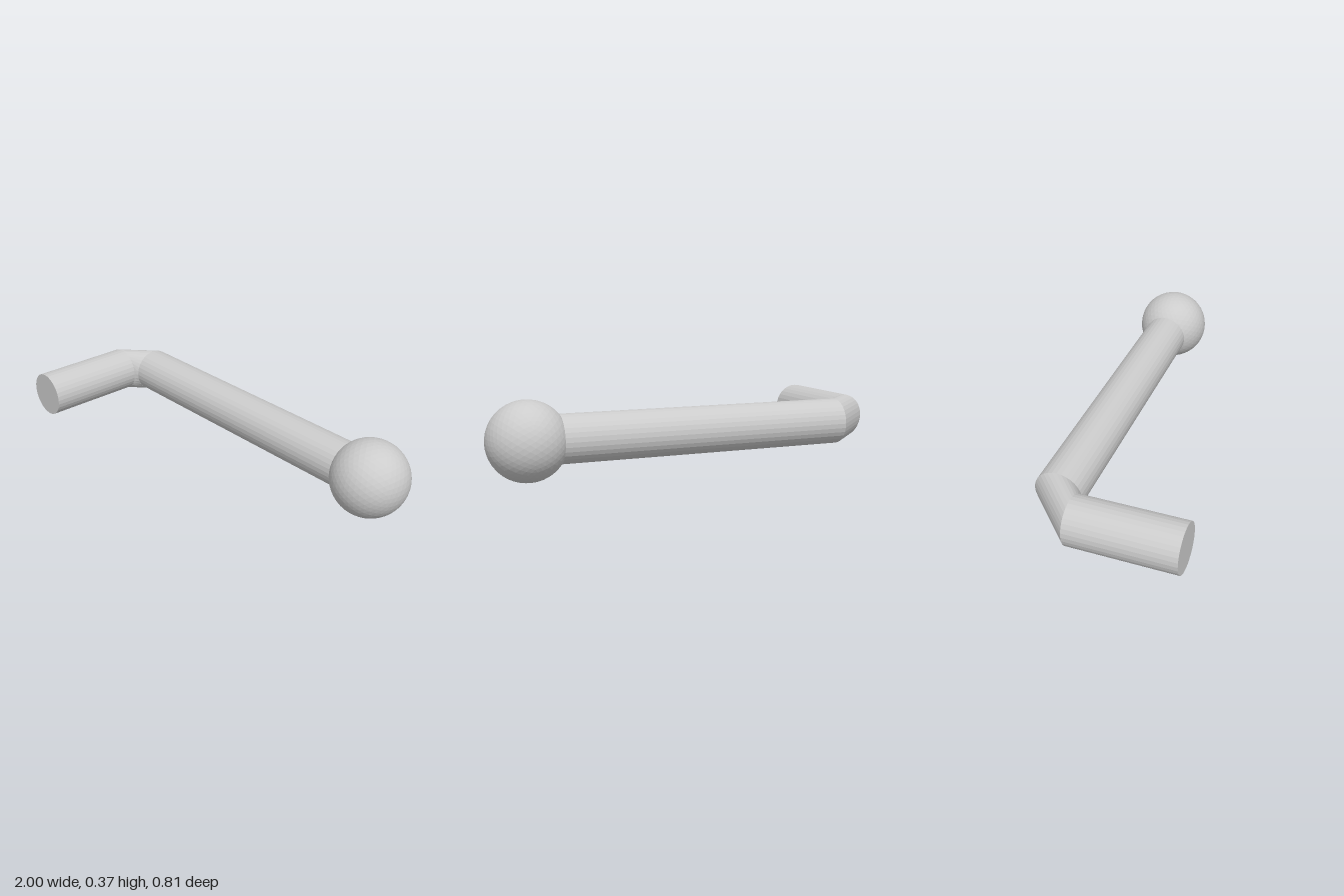
import * as THREE from 'three';

const R = 0.113, SIDES = 32, CY = 0.186;
const LEG_X = -0.887, ARM_Z = -0.223;   // centre lines of the two straight rods
const BEND_Z = -0.1, BEND_X = -0.755;   // where the elbow starts and stops

export function createModel() {
  const group = new THREE.Group();
  const material = new THREE.MeshStandardMaterial({ color: 0xcccccc, flatShading: true });
  const add = (name, geometry, x = 0, y = 0, z = 0) => {
    const mesh = new THREE.Mesh(geometry, material);
    mesh.name = name;
    mesh.position.set(x, y, z);
    group.add(mesh);
  };

  // Short rod pointing to the front
  const legLength = 0.407 - BEND_Z;
  add('shortRod', new THREE.CylinderGeometry(R, R, legLength, SIDES).rotateX(Math.PI / 2),
    LEG_X, CY, BEND_Z + legLength / 2);

  // Long rod running across, ending inside the ball
  const armLength = 0.74 - BEND_X;
  add('longRod', new THREE.CylinderGeometry(R, R, armLength, SIDES).rotateZ(Math.PI / 2),
    BEND_X + armLength / 2, CY, ARM_Z);

  // Elbow: a straight loft between the two rod ends
  const positions = [], index = [];
  for (let i = 0; i <= SIDES; i++) {
    const t = (i / SIDES) * Math.PI * 2;
    const c = R * Math.cos(t), y = CY + R * Math.sin(t);
    positions.push(LEG_X + c, y, BEND_Z, BEND_X, y, ARM_Z + c);
    if (i < SIDES) {
      const a = i * 2;
      index.push(a, a + 1, a + 2, a + 2, a + 1, a + 3);
    }
  }
  const elbow = new THREE.BufferGeometry();
  elbow.setAttribute('position', new THREE.Float32BufferAttribute(positions, 3));
  elbow.setIndex(index);
  elbow.computeVertexNormals();
  add('elbow', elbow);

  // Ball at the end of the long rod
  add('ball', new THREE.IcosahedronGeometry(0.184, 7), 0.815, CY, ARM_Z);

  return group;
}
